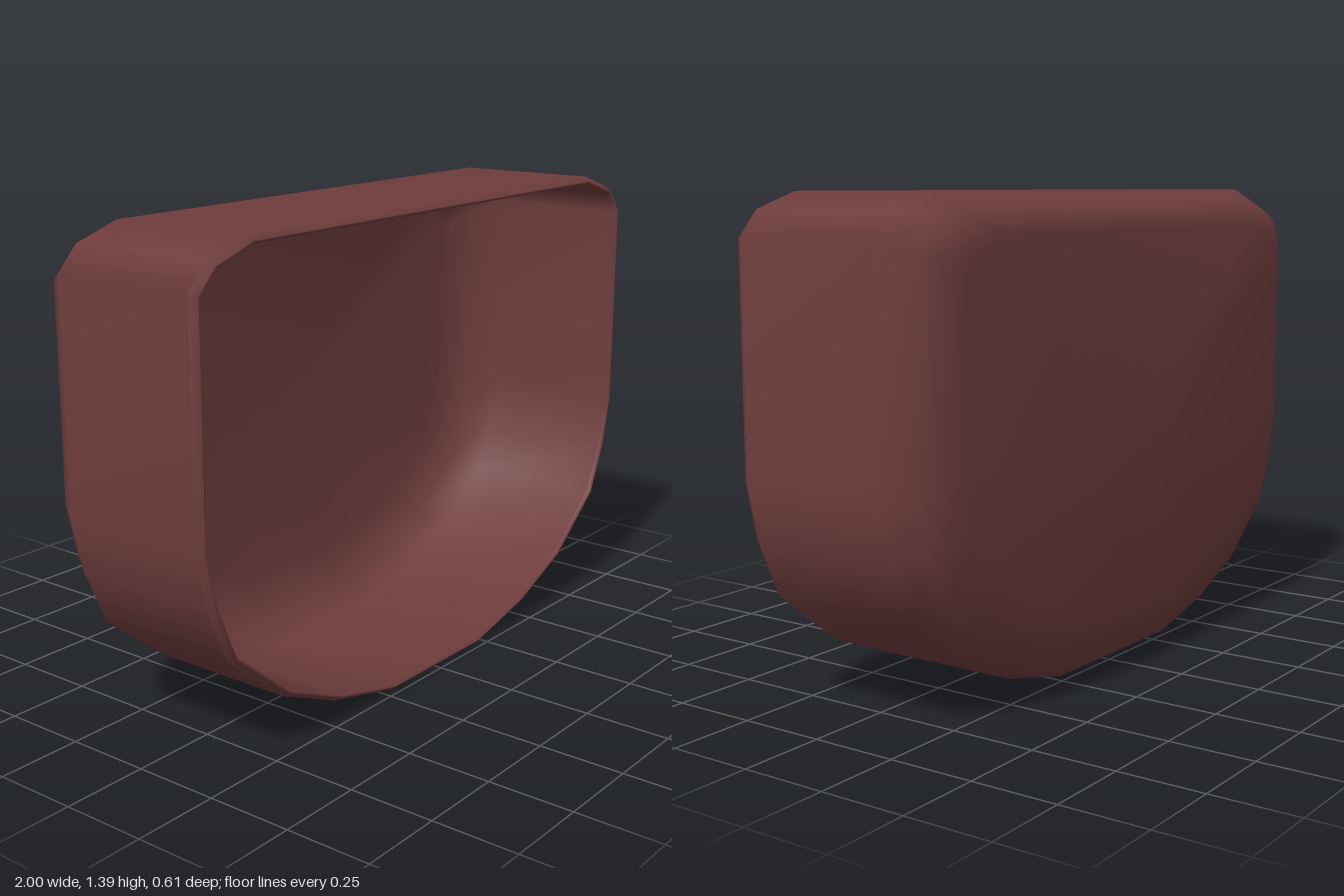
import * as THREE from 'three';

// Right half of the outline, bottom to top; mirrored to close the loop
const half = [[0.22, 0], [0.47, 0.06], [0.69, 0.155], [0.895, 0.32], [0.965, 0.48],
  [1, 0.64], [1, 1.28], [0.94, 1.345], [0.8, 1.39]];
const outline = [...half, ...half.map(([x, y]) => [-x, y]).reverse()];
const HEIGHT = 1.39;

// Skin through rings given as [half width, bottom, top, z]
function skin(name, rings, material) {
  const n = outline.length, pos = [], index = [];
  for (const [w, bottom, top, z] of rings)
    for (const [x, y] of outline) pos.push(x * w, bottom + (y / HEIGHT) * (top - bottom), z);
  for (let r = 0; r < rings.length - 1; r++)
    for (let i = 0; i < n; i++) {
      const j = (i + 1) % n, a = r * n, b = a + n;
      index.push(a + i, b + i, b + j, a + i, b + j, a + j);
    }
  const g = new THREE.BufferGeometry();
  g.setAttribute('position', new THREE.Float32BufferAttribute(pos, 3));
  g.setIndex(index);
  g.computeVertexNormals();
  const mesh = new THREE.Mesh(g, material);
  mesh.name = name;
  return mesh;
}

export function createModel() {
  const group = new THREE.Group();
  group.name = 'openBin';
  const material = new THREE.MeshStandardMaterial({ color: 0x6e3c3c });

  // Inside: back panel, rounded edge, straight walls
  group.add(skin('innerShell', [
    [0, 0.74, 0.74, -0.1], [0.81, 0.21, 1.27, -0.1], [0.92, 0.07, 1.32, -0.045],
    [0.978, 0.022, 1.368, 0.035], [0.978, 0.022, 1.368, 0.48],
  ], material));

  // Thin bevelled lip around the opening
  group.add(skin('rim', [
    [0.978, 0.022, 1.368, 0.48], [0.983, 0.017, 1.373, 0.49],
    [0.988, 0.012, 1.378, 0.49], [1, 0, 1.39, 0.47],
  ], material));

  // Outside: straight walls, rounded edge, back panel
  group.add(skin('outerShell', [
    [1, 0, 1.39, 0.47], [1, 0, 1.39, 0.03], [0.94, 0.05, 1.345, -0.06],
    [0.82, 0.2, 1.28, -0.12], [0, 0.74, 0.74, -0.122],
  ], material));

  return group;
}
